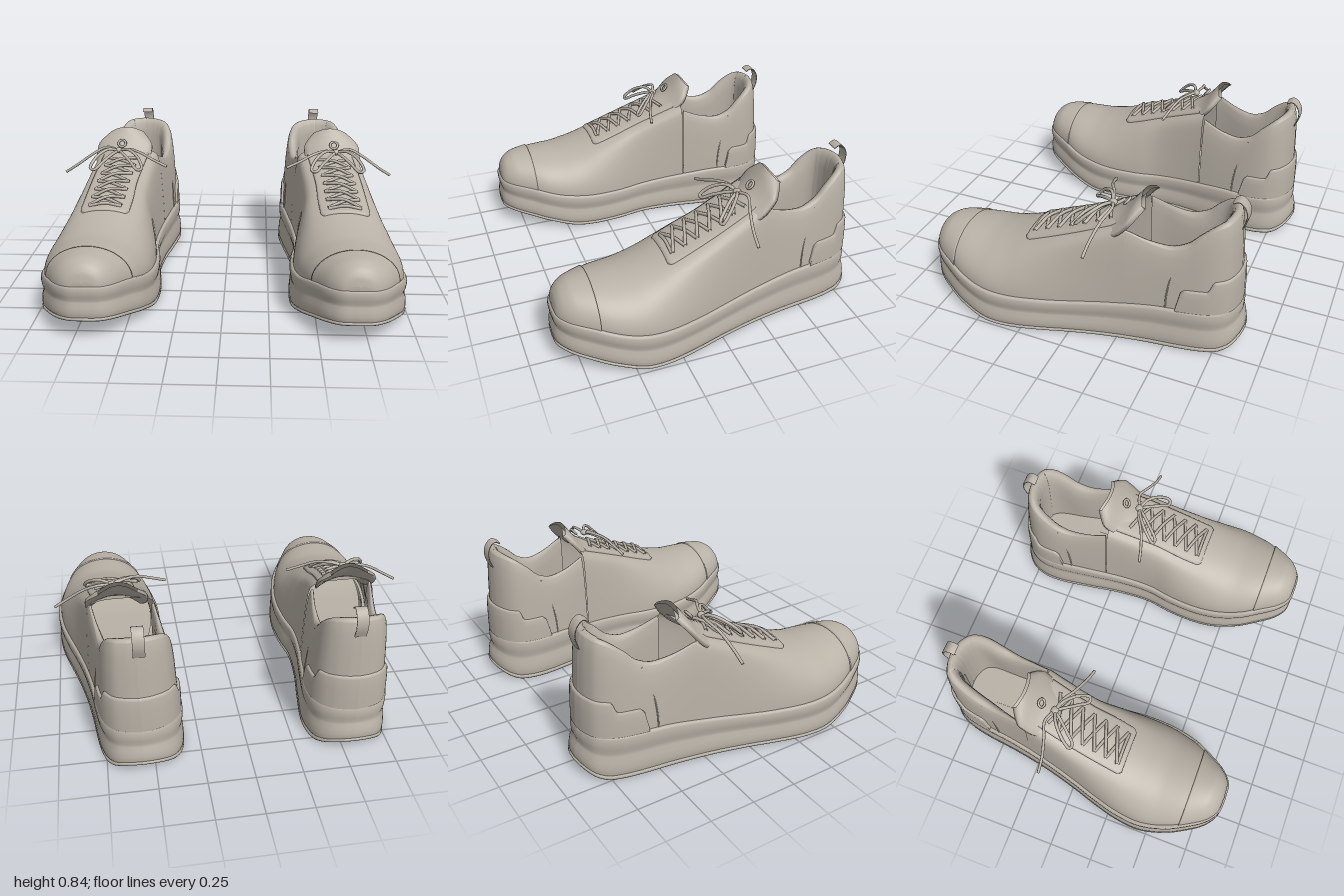
import * as THREE from 'three';

const V = (x, y, z) => new THREE.Vector3(x, y, z);
const { lerp, smoothstep } = THREE.MathUtils;

// Smooth monotone curve through ascending [z, value] pairs
function ramp(p) {
  const sec = i => (p[i + 1][1] - p[i][1]) / (p[i + 1][0] - p[i][0]);
  const slope = i => {
    if (i === 0) return sec(0);
    if (i === p.length - 1) return sec(i - 1);
    const a = sec(i - 1), b = sec(i);
    return a * b <= 0 ? 0 : 2 * a * b / (a + b);
  };
  return z => {
    if (z <= p[0][0]) return p[0][1];
    if (z >= p[p.length - 1][0]) return p[p.length - 1][1];
    let i = 0;
    while (z > p[i + 1][0]) i++;
    const h = p[i + 1][0] - p[i][0], s = (z - p[i][0]) / h, r = 1 - s;
    return p[i][1] * (1 + 2 * s) * r * r + p[i + 1][1] * s * s * (3 - 2 * s)
      + h * (slope(i) * s * r * r - slope(i + 1) * s * s * r);
  };
}

// Footprint stations: z, inner x, outer x, from toe to heel
const stations = [[.865, .69, .69], [.855, .60, .775], [.8, .53, .85], [.7, .467, .915], [.6, .415, .962],
  [.45, .375, .995], [.3, .365, .982], [.15, .375, .945], [0, .398, .9], [-.2, .387, .85], [-.4, .355, .815],
  [-.6, .33, .79], [-.7, .338, .77], [-.78, .37, .74], [-.83, .42, .7], [-.86, .49, .63], [-.87, .56, .56]];
const footprint = new THREE.CatmullRomCurve3(stations.map(s => V(s[1], s[0], s[2])));

// Heights along the shoe
const soleBottom = ramp([[-.87, .05], [-.8, .012], [-.75, 0], [.3, 0], [.42, .006], [.6, .05], [.8, .1], [.87, .112]]);
const soleTop = ramp([[-.87, .255], [-.5, .25], [-.2, .222], [.1, .2], [.3, .203], [.5, .225], [.7, .275], [.87, .3]]);
const ridge = ramp([[-.32, .715], [-.06, .615], [.12, .55], [.26, .5], [.4, .455], [.52, .434], [.66, .432],
  [.75, .425], [.8, .4], [.83, .36], [.845, .3]]);
const upperInset = z => .022 + .015 * smoothstep(-z, .7, .87);

// Half cross-section at the throat; its first 4/7 is the side wall
const throatProfile = new THREE.SplineCurve([[1, 0], [.985, .2], [.96, .45], [.92, .72], [.84, .92], [.62, .98],
  [.33, 1], [0, 1]].map(p => new THREE.Vector2(...p)));
const WALL = 4 / 7, THROAT_Z = -.28;
const throatY = lerp(soleTop(THROAT_Z), ridge(THROAT_Z), .92);
const collarY = ramp([[-.8, .765], [-.74, .745], [-.65, .68], [-.58, .615], [-.5, .59], [-.42, .605], [THROAT_Z, throatY]]);

// Footprint as a loop: u 0..1 runs down the outer side, 1..2 back up the inner side
function rim(u) {
  u = (u + 2) % 2;
  const p = footprint.getPoint(u <= 1 ? u : 2 - u);
  return V(u <= 1 ? p.z : p.x, 0, p.y);
}
function ring(u, inset) {
  const t = rim(u + .004).sub(rim(u - .004)).normalize();
  return rim(u).add(V(t.z * inset, 0, -t.x * inset));
}
function tAt(z) {
  let a = 0, b = 1;
  for (let i = 0; i < 30; i++) {
    const m = (a + b) / 2;
    if (footprint.getPoint(m).y > z) a = m; else b = m;
  }
  return a;
}
const T_THROAT = tAt(THROAT_Z);

// Point on the closed front of the upper, v = 0 at the sole and 1 at the ridge
function vamp(u, v, lift = 0) {
  const p = rim(u), inset = upperInset(p.z), a = ring(u, inset), b = ring(2 - u, inset);
  const mid = (a.x + b.x) / 2, z = (a.z + b.z) / 2, base = soleTop(z) - .004;
  const k = smoothstep(-z, -.5, -THROAT_Z), q = throatProfile.getPoint(v);
  const px = lerp(Math.cos(v * Math.PI / 2), q.x, k), py = lerp(Math.sin(v * Math.PI / 2), q.y, k);
  return V(lerp(mid, a.x, px) + Math.sign(a.x - mid) * lift * px,
    lerp(base, Math.max(base, ridge(z)), py) + lift * py, z + lift * smoothstep(z, .7, .84));
}
// Point on the open heel wall at height fraction f
function heelWall(u, f, px, out = 0) {
  const z = rim(u).z, p = ring(u, upperInset(z) + (1 - px) * .22 - out);
  p.y = lerp(soleTop(p.z) - .004, collarY(p.z), f);
  return p;
}

// Surface from rows of points
function grid(rows, closed = false) {
  const n = rows[0].length, index = [];
  for (let i = 0; i < rows.length - 1; i++) {
    for (let j = 0; j < (closed ? n : n - 1); j++) {
      const a = i * n + j, b = i * n + (j + 1) % n;
      index.push(a, a + n, b, b, a + n, b + n);
    }
  }
  const g = new THREE.BufferGeometry().setFromPoints(rows.flat());
  g.setIndex(index);
  g.computeVertexNormals();
  return g;
}
const range = (n, a, b, f) => Array.from({ length: n + 1 }, (_, i) => f(lerp(a, b, i / n)));
const tube = (pts, r, n = 24) => new THREE.TubeGeometry(new THREE.CatmullRomCurve3(pts), n, r, 8);

function buildShoe(material) {
  const shoe = new THREE.Group();
  const add = (name, geometry) => {
    const m = new THREE.Mesh(geometry, material);
    m.name = name;
    shoe.add(m);
    return m;
  };

  // Sole: wavy stacked rings closed by flat strips
  const soleRow = ([inset, f]) => range(159, 0, 2 - 2 / 160, u => {
    const p = ring(u, inset + .022 * f * smoothstep(-p0(u), .7, .87));
    p.y = lerp(soleBottom(p.z), soleTop(p.z), f);
    return p;
  });
  const p0 = u => rim(u).z;
  const strip = (inset, height) => grid(range(80, 0, 1, t => {
    const a = ring(t, inset), b = ring(2 - t, inset);
    return [0, .5, 1].map(k => { const p = a.clone().lerp(b, k); p.y = height(p.z); return p; });
  }));
  add('outsole', grid([[.02, 0], [.005, .005], [0, .03], [0, .08], [.008, .1]].map(soleRow), true));
  add('outsoleBottom', strip(.02, soleBottom));
  add('midsole', grid([[.008, .09], [.002, .13], [.001, .25], [.004, .4], [.012, .52], [.013, .6], [.006, .7],
    [.003, .82], [.004, .94], [.01, .99], [.018, 1], [.04, 1]].map(soleRow), true));
  add('footbed', strip(.06, z => soleTop(z) + .03));

  // Upper: arched front and open heel wall
  const section = (t, v0, lift, n = 21) =>
    [...range(n, v0, 1, v => vamp(t, v, lift)), ...range(n, 1, v0, v => vamp(2 - t, v, lift)).slice(1)];
  add('vamp', grid(range(110, 0, T_THROAT, t => section(t, 0, 0))));
  add('heelWall', grid(range(12, 0, WALL, v => range(90, T_THROAT, 2 - T_THROAT, u => {
    const q = throatProfile.getPoint(v);
    return heelWall(u, q.y / .92, q.x);
  }))));

  // Raised toe cap
  const tCap = tAt(.67);
  add('toeCap', grid([...range(40, 0, tCap, t => section(t, 0, .007)), section(tCap, 0, -.002)]));

  // Padded collar rolling into the lining
  add('collarLining', grid([[0, 0], [.008, .01], [.02, .014], [.036, .008], [.05, -.02], [.06, -.08], [.056, -.2], [.045, -.5]]
    .map(([d, dy]) => range(90, T_THROAT, 2 - T_THROAT, u => {
      const k = .35 + .65 * smoothstep(-rim(u).z, .3, .6);
      const p = heelWall(u, 1, .84), q = heelWall(u, 1, .84, -d * k);
      return V(q.x, Math.max(p.y + dy * (dy > 0 ? k : 1), .26), q.z);
    }))));

  // Stepped heel counter and side seams
  const counterTop = ramp([[-.87, .455], [-.745, .45], [-.71, .39], [-.6, .385], [-.572, .36], [-.552, .262]]);
  const tCounter = tAt(-.553);
  const onWall = (u, y, out) => {
    const z = rim(u).z, f = (y - soleTop(z)) / (collarY(z) - soleTop(z));
    return heelWall(u, f, 1 - .16 * Math.pow(Math.max(f, 0), 1.5), out);
  };
  add('heelCounter', grid([[0, .014], [.3, .015], [.65, .016], [.93, .016], [1, .01], [1, -.003]].map(([k, out]) =>
    range(90, tCounter, 2 - tCounter, u => onWall(u, lerp(soleTop(rim(u).z), counterTop(rim(u).z), k), out)))));
  for (const side of [1, -1]) {
    const pts = range(6, 0, 1, k => {
      const t = tAt(lerp(-.5, -.575, k * k));
      return onWall(side > 0 ? t : 2 - t, lerp(.255, .6, k), .001);
    });
    add('sideSeam', tube(pts, .004));
  }

  // Heel pull tab
  const tabPath = new THREE.CatmullRomCurve3([[.69, -.812], [.745, -.83], [.79, -.828], [.825, -.808], [.839, -.783],
    [.825, -.755]].map(([y, z]) => V(.548, y, z)));
  add('pullTab', grid(tabPath.getPoints(20).map((p, i) => {
    const d = tabPath.getTangent(i / 20), n = V(0, -d.z, d.y).multiplyScalar(.004);
    return [[-1, 1], [1, 1], [1, -1], [-1, -1]].map(([a, b]) => p.clone().addScaledVector(n, b).add(V(a * .03, 0, 0)));
  }), true));

  // Tongue: curved lens-shaped rows flaring up out of the throat
  const tonguePath = new THREE.CatmullRomCurve3([[.655, -.13], [.71, -.22], [.755, -.265], [.8, -.3], [.826, -.32]]
    .map(([y, z]) => V(0, y, z)));
  const tongueHalf = ramp([[0, .14], [.35, .165], [.55, .165], [.8, .13], [1, .1]]);
  add('tongue', grid(range(16, 0, 1, s => {
    const c = tonguePath.getPoint(s), w = tongueHalf(s);
    const arc = (k, d) => V(lerp(.64, .62, s) + k * w, c.y - .07 * k * k * (1 - .5 * s) - d * .6, c.z - .025 * k * k * s - d);
    return [...range(12, -1, 1, k => arc(k, 0)), ...range(12, 1, -1, k => arc(k, .018))];
  }), true));

  // Lacing panel lying on the front of the upper
  const p1 = tAt(.27), p2 = tAt(-.24);
  const panelRow = (t, lift, v0 = .72) => {
    const row = section(t, v0, lift, 10);
    return [vamp(t, v0 - .01, -.003), ...row, vamp(2 - t, v0 - .01, -.003)];
  };
  add('lacePanel', grid([panelRow(p1, -.003, .76), panelRow(p1, .009, .76), panelRow(lerp(p1, p2, .03), .01, .73),
    ...range(30, lerp(p1, p2, .06), p2, t => panelRow(t, .01))]));

  // Criss-cross laces
  const onPanel = (z, side, v, lift) => vamp(side > 0 ? tAt(z) : 2 - tAt(z), v, lift);
  const ROWS = 6, laceZ = i => .23 - i * .068;
  for (let i = 0; i < ROWS; i++) {
    for (const side of [1, -1]) {
      const a = onPanel(laceZ(i), side, .82, .014), b = onPanel(laceZ(i + 1), -side, .82, .014);
      const m = onPanel((laceZ(i) + laceZ(i + 1)) / 2, side, 1, side > 0 ? .03 : .02);
      add('lace', tube([a, m, b], .009, 14));
    }
  }
  add('bottomLace', tube([onPanel(.235, 1, .82, .012), onPanel(.235, 1, 1, .02), onPanel(.235, -1, .82, .012)], .009, 12));

  // Bow: knot, two loops and two loose ends
  const knot = V(.645, .722, -.16);
  const ball = add('knot', new THREE.SphereGeometry(.022, 16, 12));
  ball.position.copy(knot);
  ball.scale.set(1.1, .8, 1);
  for (const side of [1, -1]) {
    const at = (x, y, z) => V(knot.x + side * x, y, z);
    add('bowLoop', tube([knot, at(.06, .735, -.13), at(.125, .70, -.07), at(.15, .65, -.02), at(.125, .645, -.015),
      at(.08, .68, -.06), at(.03, .712, -.12), knot], .009, 48));
  }
  add('laceEnd', tube([knot, V(.72, .735, -.185), V(.8, .7, -.16), V(.89, .64, -.14), V(.965, .592, -.135)], .008));
  add('laceEnd', tube([knot, V(.58, .735, -.14), V(.51, .725, -.1), V(.43, .69, -.07), V(.35, .657, -.05)], .008));

  // Small lace keeper on the tongue
  const keeper = add('laceKeeper', new THREE.TorusGeometry(.022, .007, 8, 20));
  keeper.position.set(.638, .745, -.235);
  keeper.rotation.x = -.7;

  // Inset strip on the footbed
  const r = .043, cap = new THREE.Shape();
  cap.moveTo(-r, 0).lineTo(r, 0).lineTo(r, .39).absarc(0, .39, r, 0, Math.PI).lineTo(-r, 0);
  const inlay = add('footbedInlay', new THREE.ExtrudeGeometry(cap, { depth: .006, bevelEnabled: false }));
  inlay.rotation.set(-Math.PI / 2, 0, 0);
  inlay.position.set(.585, .278, -.2);
  return shoe;
}

export function createModel() {
  const material = new THREE.MeshStandardMaterial({ color: 0xb8b1a6, side: THREE.DoubleSide });
  material.name = 'warm grey';
  const model = new THREE.Group();
  model.name = 'pairOfShoes';
  const left = buildShoe(material);
  left.name = 'leftShoe';
  const right = buildShoe(material);
  right.name = 'rightShoe';
  right.scale.x = -1;
  model.add(left, right);
  return model;
}
